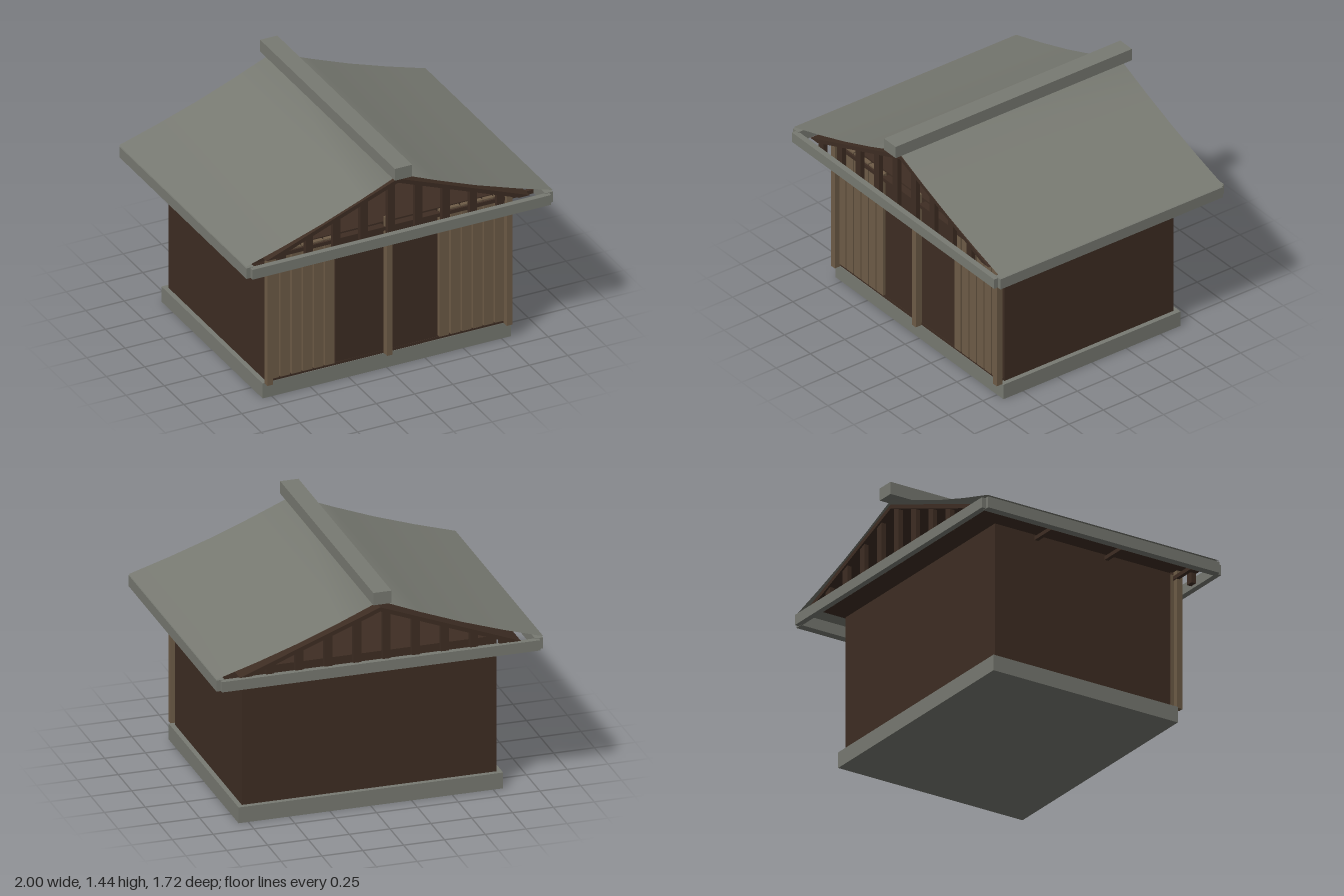
import * as THREE from 'three';

export function createModel() {
  const model = new THREE.Group();
  model.name = 'woodenHall';
  const material = (name, color, side = THREE.FrontSide) => {
    const m = new THREE.MeshStandardMaterial({ color, side });
    m.name = name;
    return m;
  };
  const stone = material('grey stone', 0x787a72, THREE.DoubleSide);
  const darkWood = material('dark brown wood', 0x3e2d23);
  const paleWood = material('pale brown wood', 0x6e5c47);

  const add = (name, geometry, mat) => {
    const mesh = new THREE.Mesh(geometry, mat);
    mesh.name = name;
    model.add(mesh);
    return mesh;
  };
  // Box given by its limits on each axis
  const box = (name, mat, x0, x1, y0, y1, z0, z1) =>
    add(name, new THREE.BoxGeometry(x1 - x0, y1 - y0, z1 - z0), mat)
      .position.set((x0 + x1) / 2, (y0 + y1) / 2, (z0 + z1) / 2);

  // Foundation and walls
  box('foundation', stone, -0.81, 0.81, 0, 0.1, -0.645, 0.645);
  box('walls', darkWood, -0.78, 0.78, 0.1, 0.96, -0.615, 0.615);

  // Front: sill, two doors, planks and posts
  box('sill', darkWood, -0.77, 0.77, 0.1, 0.118, 0.61, 0.642);
  for (const s of [-1, 1]) {
    box('door', darkWood, Math.min(s * 0.02, s * 0.333), Math.max(s * 0.02, s * 0.333), 0.105, 0.95, 0.612, 0.64);
    for (let i = 0; i < 6; i++) {
      const x = s * (0.374 + i * 0.0725);
      box('plank', paleWood, x - 0.031, x + 0.031, 0.118, 0.96, 0.624, 0.65);
    }
    box('cornerPost', paleWood, s * 0.781 - 0.018, s * 0.781 + 0.018, 0.1, 0.98, 0.645, 0.685);
  }
  box('centrePost', paleWood, -0.018, 0.018, 0.1, 1.01, 0.64, 0.685);

  // Eaves frame
  for (const s of [-1, 1]) {
    box('endEavesBeam', stone, -0.975, 0.975, 0.93, 0.995, s * 0.819 - 0.018, s * 0.819 + 0.018);
    box('sideEavesBeam', stone, s * 0.975 - 0.025, s * 0.975 + 0.025, 0.928, 0.998, -0.81, 0.81);
  }

  // Joists carrying the eaves
  for (const z of [0.65, 0.165, -0.325])
    box('joist', darkWood, -0.95, 0.95, 0.926, 0.95, z - 0.012, z + 0.012);

  // Sloping ceiling boards under the roof
  const ceiling = new THREE.Shape([
    [0.86, 1], [0, 1.33], [-0.86, 1], [-0.79, 1], [0, 1.303], [0.79, 1],
  ].map(([x, y]) => new THREE.Vector2(x, y)));
  add('ceilingBoards', new THREE.ExtrudeGeometry(ceiling, { depth: 1.612, bevelEnabled: false }), darkWood)
    .position.z = -0.822;

  // Open gable studs, front and back
  for (const z of [-0.795, 0.775])
    for (let i = 0; i < 9; i++) {
      const x = -0.757 + i * 0.1785;
      box('gableStud', darkWood, x - 0.024, x + 0.024, 0.94, 1.315 - 0.384 * Math.abs(x), z - 0.015, z + 0.015);
    }

  // Gently sagging roof sheet, smooth over the ridge
  const roof = new THREE.PlaneGeometry(2, 1.62, 8, 1).rotateX(-Math.PI / 2);
  const p = roof.attributes.position;
  for (let i = 0; i < p.count; i++) {
    const a = Math.abs(p.getX(i));
    p.setY(i, 1.367 - 0.36 * a - 0.02 * Math.sin(Math.PI * a));
  }
  roof.computeVertexNormals();
  add('roof', roof, stone).position.z = -0.004;

  // Ridge beam
  box('ridgeBeam', stone, -0.056, 0.056, 1.366, 1.444, -0.86, 0.86);
  return model;
}
